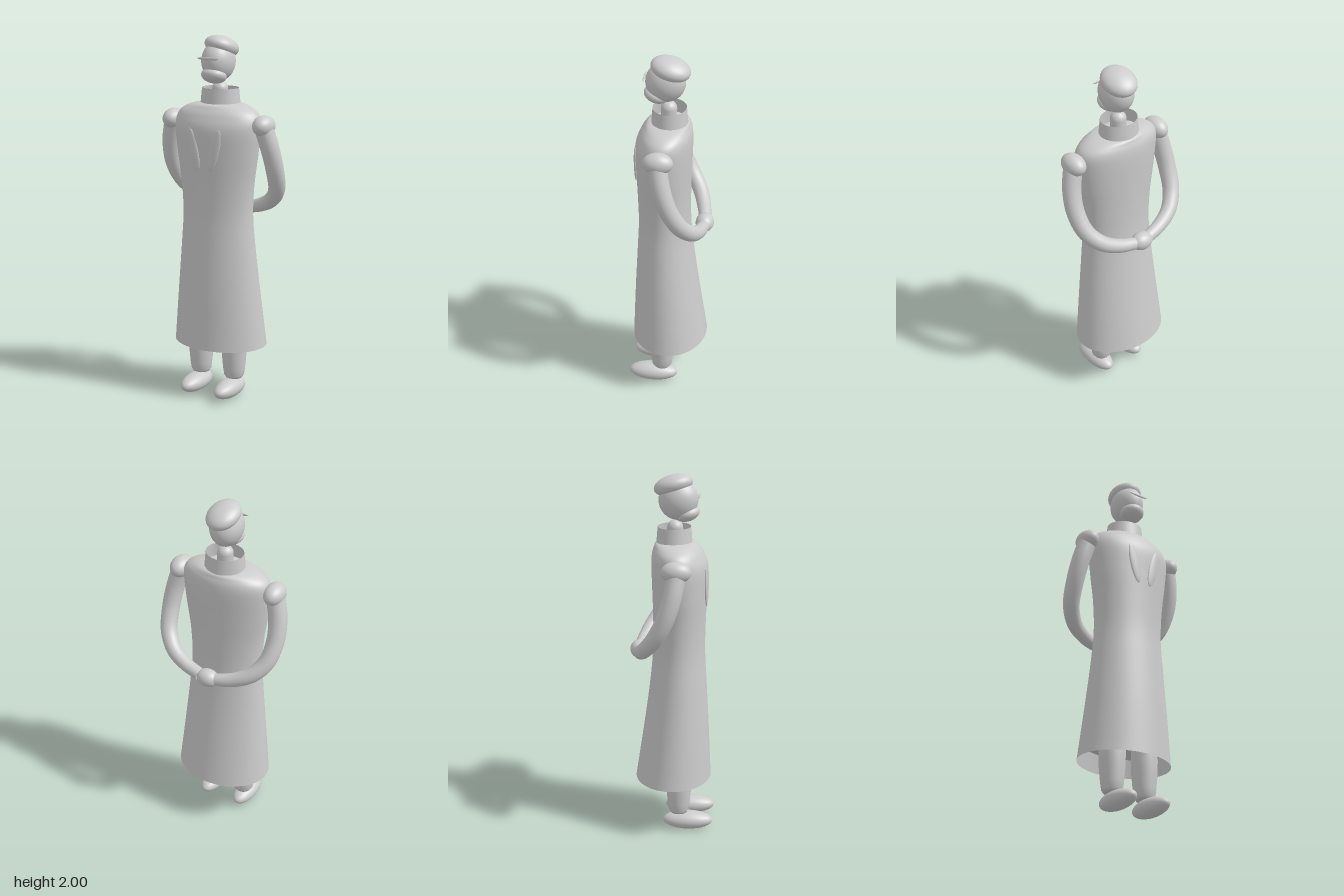
import * as THREE from 'three';
import { mergeVertices } from 'three/addons/utils/BufferGeometryUtils.js';

const cloth = new THREE.MeshStandardMaterial({ color: 0xcccccc, side: THREE.DoubleSide });
cloth.name = 'plain grey';

export function createModel() {
  const model = new THREE.Group();
  model.name = 'standingFigure';

  const add = (name, geometry, position = [0, 0, 0], rotation = [0, 0, 0]) => {
    const mesh = new THREE.Mesh(geometry, cloth);
    mesh.name = name;
    mesh.position.set(...position);
    mesh.rotation.set(...rotation);
    model.add(mesh);
    return mesh;
  };
  const ellipsoid = (name, radii, position, rotation) =>
    add(name, new THREE.SphereGeometry(1, 40, 28).scale(...radii), position, rotation);

  // Smooth the normals across the seam after moving vertices
  const resmooth = (geometry) => {
    geometry.deleteAttribute('uv');
    geometry.deleteAttribute('normal');
    const merged = mergeVertices(geometry, 1e-5);
    merged.computeVertexNormals();
    return merged;
  };

  // Long coat: oval sections given as height, half width, front z, back z
  const sections = [
    [0.29, 0.27, 0.217, -0.203],
    [0.6, 0.24, 0.203, -0.156],
    [0.85, 0.217, 0.189, -0.122],
    [1.03, 0.205, 0.18, -0.106],
    [1.2, 0.214, 0.183, -0.104],
    [1.36, 0.237, 0.189, -0.108],
    [1.5, 0.252, 0.192, -0.112],
    [1.57, 0.244, 0.17, -0.109],
    [1.61, 0.205, 0.145, -0.098],
    [1.635, 0.13, 0.115, -0.08],
    [1.645, 0.01, 0.02, 0.0],
  ];
  const widthCurve = new THREE.CatmullRomCurve3(
    sections.map(([y, w, f]) => new THREE.Vector3(w, y, f)), false, 'catmullrom', 0.5);
  const backCurve = new THREE.CatmullRomCurve3(
    sections.map(([y, , , b]) => new THREE.Vector3(0, y, b)), false, 'catmullrom', 0.5);
  const coat = new THREE.CylinderGeometry(1, 1, 1, 64, 50, true);
  const p = coat.attributes.position;
  for (let i = 0; i < p.count; i++) {
    const t = THREE.MathUtils.clamp(p.getY(i) + 0.5, 0, 1);
    const a = widthCurve.getPoint(t);
    const back = backCurve.getPoint(t).z;
    p.setXYZ(i, p.getX(i) * a.x, a.y, (a.z + back) / 2 + p.getZ(i) * (a.z - back) / 2);
  }
  add('coat', resmooth(coat));

  // Lining that closes the inside of the skirt
  add('coatLining', new THREE.CircleGeometry(1, 64).rotateX(Math.PI / 2).scale(0.256, 1, 0.194), [0, 0.39, 0.012]);

  // Open standing collar and neck
  add('collar', new THREE.CylinderGeometry(0.103, 0.112, 0.09, 48, 1, true).scale(1, 1, 0.87), [0, 1.672, 0.011]);
  add('neck', new THREE.CapsuleGeometry(0.043, 0.1, 10, 32), [0, 1.66, 0.015]);

  // Head, chin, cap and thin eyepiece
  ellipsoid('head', [0.087, 0.108, 0.106], [0, 1.86, 0.032], [0.1, 0, 0]);
  ellipsoid('chin', [0.069, 0.042, 0.068], [0, 1.787, 0.08], [-0.3, 0, 0]);
  ellipsoid('cap', [0.089, 0.055, 0.107], [0.005, 1.937, 0.005], [-0.27, 0, -0.14]);
  ellipsoid('eyepiece', [0.064, 0.009, 0.0045], [0, 1.881, 0.143]);

  // Paired parts
  for (const side of [1, -1]) {
    const label = side > 0 ? 'left' : 'right';
    ellipsoid(label + 'Lapel', [0.029, 0.117, 0.009], [side * 0.064, 1.4, 0.186], [0, side * 0.08, side * -0.23]);
    ellipsoid(label + 'Shoulder', [0.056, 0.057, 0.08], [side * 0.281, 1.532, 0.037]);

    // Arm curving round to the back, tapering to the wrist
    const path = new THREE.CatmullRomCurve3([
      [0.283, 1.52, 0.04], [0.312, 1.4, 0.018], [0.321, 1.28, -0.02],
      [0.3, 1.17, -0.078], [0.235, 1.095, -0.132], [0.14, 1.05, -0.163], [0.05, 1.03, -0.179],
    ].map(([x, y, z]) => new THREE.Vector3(side * x, y, z)));
    const rows = 36, around = 24;
    const arm = new THREE.TubeGeometry(path, rows, 1, around);
    const q = arm.attributes.position;
    const v = new THREE.Vector3();
    for (let i = 0; i < q.count; i++) {
      const u = Math.floor(i / (around + 1)) / rows;
      const centre = path.getPointAt(u);
      v.fromBufferAttribute(q, i).sub(centre).multiplyScalar(0.051 - 0.017 * u * u).add(centre);
      q.setXYZ(i, v.x, v.y, v.z);
    }
    add(label + 'Arm', resmooth(arm));

    // Trouser leg and rounded shoe
    const leg = [[0, 0.1], [0.045, 0.102], [0.056, 0.118], [0.062, 0.16], [0.07, 0.25], [0.072, 0.32], [0.07, 0.4]];
    add(label + 'Leg', new THREE.LatheGeometry(leg.map(([r, y]) => new THREE.Vector2(r, y)), 32), [side * 0.107, 0, 0.043]);
    ellipsoid(label + 'Shoe', [0.062, 0.051, 0.139], [side * 0.108, 0.053, 0.094]);
  }

  // Clasped hands behind the back
  ellipsoid('claspedHands', [0.064, 0.05, 0.05], [0, 1.027, -0.182]);

  return model;
}
